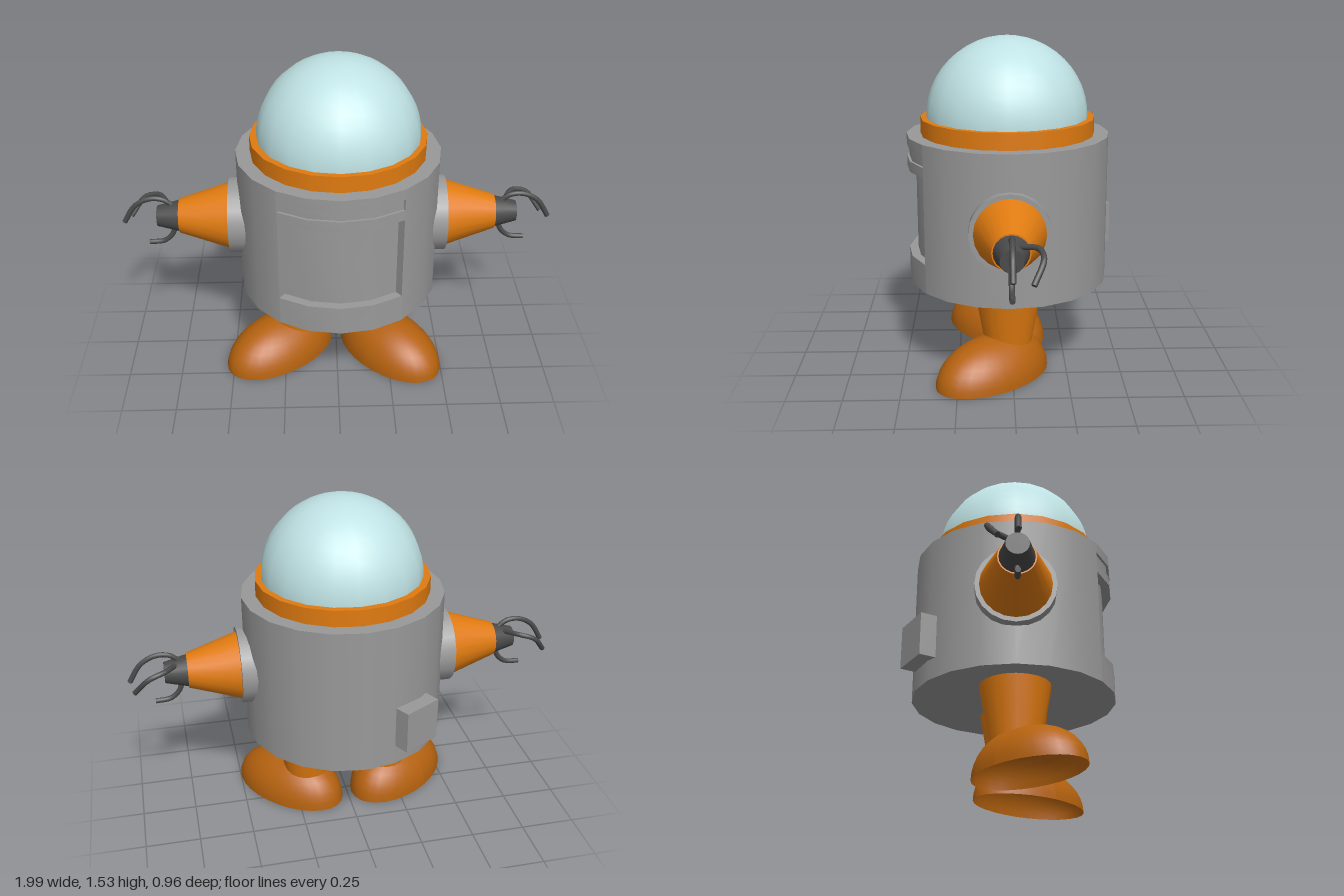
import * as THREE from 'three';
import { toCreasedNormals } from 'three/addons/utils/BufferGeometryUtils.js';

const mat = (color, side = THREE.FrontSide) => new THREE.MeshStandardMaterial({ color, side });
const grey = mat(0x999999);
const greyThin = mat(0x999999, THREE.DoubleSide);
const orange = mat(0xe07b10);
const footOrange = mat(0xb5620f, THREE.DoubleSide);
const glass = mat(0xbfe2e4);
const dark = mat(0x4a4a4a);
const SIDES = 20;
const V = (x, y, z) => new THREE.Vector3(x, y, z);

function add(parent, name, geometry, material, x = 0, y = 0, z = 0) {
  const mesh = new THREE.Mesh(geometry, material);
  mesh.name = name;
  mesh.position.set(x, y, z);
  parent.add(mesh);
  return mesh;
}

// Barrel body with a curved window recess and a shallow slot in its front
function makeBody() {
  const body = new THREE.Group();
  body.name = 'body';
  const R = 0.46, low = 0.41, high = 1.09, half = Math.PI / 5;
  const recesses = [
    { name: 'window', r: 0.42, y0: 0.545, y1: 0.94 },
    { name: 'slot', r: 0.449, y0: 0.988, y1: 1.04 },
  ];

  const shell = new THREE.CylinderGeometry(R, R, high - low, 16, 1, true, half, 2 * Math.PI - 2 * half);
  add(body, 'bodyShell', shell, grey, 0, (low + high) / 2, 0);

  const profile = [[R, low]];
  for (const { r, y0, y1 } of recesses) profile.push([R, y0], [r, y0], [r, y1], [R, y1]);
  profile.push([R, high]);
  const front = new THREE.LatheGeometry(profile.map(p => new THREE.Vector2(...p)), 4, -half, 2 * half);
  add(body, 'frontPanel', toCreasedNormals(front, 0.6), greyThin);

  // Upright end walls of each recess
  for (const { name, r, y0, y1 } of recesses) {
    for (const a of [-half, half]) {
      const mid = (r + R) / 2;
      const wall = add(body, name + 'Wall', new THREE.PlaneGeometry(R - r, y1 - y0), greyThin,
        mid * Math.sin(a), (y0 + y1) / 2, mid * Math.cos(a));
      wall.rotation.y = a - Math.PI / 2;
    }
  }

  const disc = new THREE.CircleGeometry(R, SIDES);
  add(body, 'bodyTop', disc, grey, 0, high, 0).rotation.x = -Math.PI / 2;
  add(body, 'bodyBottom', disc, grey, 0, low, 0).rotation.x = Math.PI / 2;

  // Box mounted on the back
  const box = add(body, 'backBox', new THREE.BoxGeometry(0.19, 0.195, 0.12), grey, -0.23, 0.6, -0.4);
  box.rotation.y = Math.PI / 6;
  return body;
}

// Arm along x: sleeve, tapered forearm, wrist and three hooked fingers
function makeArm(s) {
  const arm = new THREE.Group();
  arm.name = s > 0 ? 'leftArm' : 'rightArm';
  const section = (name, rIn, rOut, x0, x1, material) => {
    const g = new THREE.CylinderGeometry(rOut, rIn, x1 - x0, SIDES);
    add(arm, name, g, material, s * (x0 + x1) / 2, 0, 0).rotation.z = -s * Math.PI / 2;
  };
  section('sleeve', 0.175, 0.175, 0.38, 0.495, grey);
  section('forearm', 0.155, 0.08, 0.495, 0.727, orange);
  section('wrist', 0.074, 0.048, 0.727, 0.83, dark);

  const fingers = {
    topFinger: [[0.76, 0.055, 0], [0.8, 0.085, 0], [0.86, 0.09, 0], [0.93, 0.055, 0], [0.985, -0.03, 0]],
    backFinger: [[0.78, 0.045, -0.03], [0.83, 0.055, -0.1], [0.9, 0.035, -0.118], [0.967, -0.045, -0.078]],
    bottomFinger: [[0.755, -0.06, 0], [0.77, -0.1, 0], [0.81, -0.135, 0], [0.88, -0.143, 0]],
  };
  for (const [name, pts] of Object.entries(fingers)) {
    const path = new THREE.CatmullRomCurve3(pts.map(([x, y, z]) => V(s * x, y, z)));
    add(arm, name, new THREE.TubeGeometry(path, 14, 0.012, 8), dark);
    // Blunt fingertip
    const tip = add(arm, name + 'Tip', new THREE.CircleGeometry(0.012, 8), dark);
    tip.position.copy(path.getPoint(1));
    tip.quaternion.setFromUnitVectors(V(0, 0, 1), path.getTangent(1));
  }
  return arm;
}

// Hollow half-egg foot, fuller toward the heel
function footGeometry() {
  const g = new THREE.SphereGeometry(1, 28, 10, 0, Math.PI * 2, 0, Math.PI / 2);
  const p = g.attributes.position;
  for (let i = 0; i < p.count; i++) {
    const z = p.getZ(i);
    p.setXYZ(i, p.getX(i) * 0.18, p.getY(i) * 0.19 * (1 + 0.2 * Math.max(0, -z)), z * 0.3);
  }
  g.computeVertexNormals();
  return g;
}

export function createModel() {
  const model = new THREE.Group();
  model.name = 'robot';

  const body = makeBody();
  body.position.set(0.01, 0, 0.017);
  model.add(body);

  // Collar ring and clear dome
  add(model, 'collar', new THREE.CylinderGeometry(0.395, 0.395, 0.075, SIDES), orange, 0.01, 1.1275, 0.018);
  add(model, 'dome', new THREE.SphereGeometry(0.366, SIDES, 12, 0, Math.PI * 2, 0, Math.PI / 2),
    glass, 0.012, 1.16, 0.02);

  const foot = footGeometry();
  for (const s of [1, -1]) {
    const arm = makeArm(s);
    arm.position.set(0.005, 0.755, 0.018);
    model.add(arm);

    // Tapered leg and splayed foot
    const side = s > 0 ? 'left' : 'right';
    add(model, side + 'Leg', new THREE.CylinderGeometry(0.157, 0.108, 0.28, SIDES), orange,
      s > 0 ? 0.188 : -0.195, 0.27, 0.02);
    const f = add(model, side + 'Foot', foot, footOrange,
      s > 0 ? 0.2625 : -0.2775, 0, s > 0 ? 0.0925 : 0.07);
    f.rotation.y = THREE.MathUtils.degToRad(s > 0 ? 40 : -50);
  }
  return model;
}
